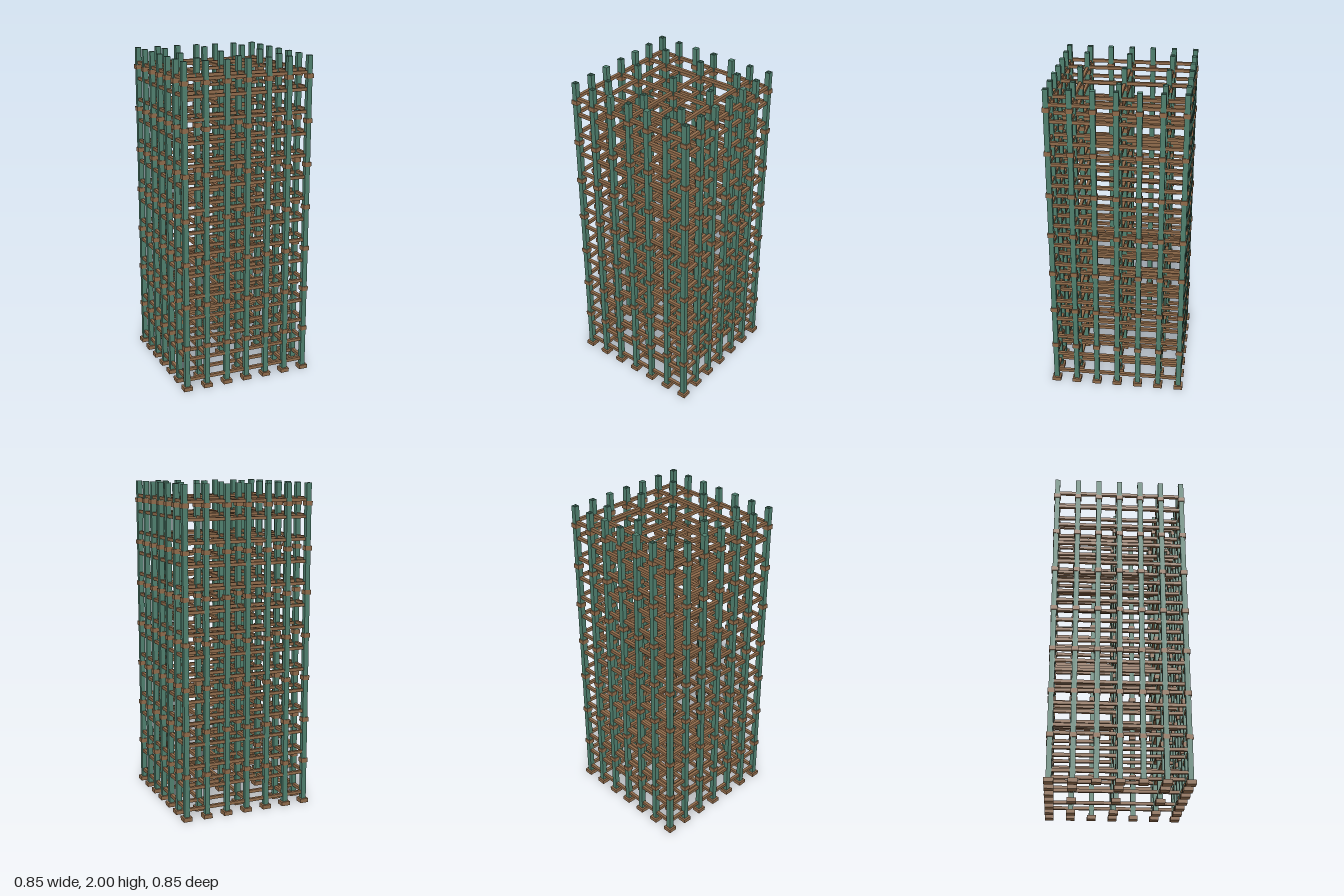
import * as THREE from 'three';
import { mergeGeometries } from 'three/addons/utils/BufferGeometryUtils.js';

const HALF = 0.395;                 // outer post line
const STEP = HALF / 3;              // spacing of the perimeter posts
const POST = 0.031, WALL = 0.005;   // post width and tube wall
const FOOT_H = 0.025, TOP = 2;
const BEAM = 0.019;

const green = new THREE.MeshStandardMaterial({ color: 0x4f7f6e });
green.name = 'greenSteel';
const brown = new THREE.MeshStandardMaterial({ color: 0x8f6a4a });
brown.name = 'brownTimber';

const box = (w, h, d, x, y, z) => new THREE.BoxGeometry(w, h, d).translate(x, y, z);

// Square tube, open at the top
function tubePost(x, z) {
  const r = POST / 2, i = r - WALL;
  const square = (s) => [[-s, -s], [s, -s], [s, s], [-s, s]].map(([a, b]) => new THREE.Vector2(a, b));
  const shape = new THREE.Shape(square(r));
  shape.holes.push(new THREE.Path(square(i).reverse()));
  const g = new THREE.ExtrudeGeometry(shape, { depth: TOP - FOOT_H, bevelEnabled: false });
  return g.rotateX(-Math.PI / 2).translate(x, FOOT_H, z);
}

export function createModel() {
  const group = new THREE.Group();
  group.name = 'latticeTower';
  const add = (name, geometries, material) => {
    const mesh = new THREE.Mesh(mergeGeometries(geometries), material);
    mesh.name = name;
    group.add(mesh);
  };

  // Post positions: a 5 x 5 grid plus extra posts along the perimeter
  const mains = [], extras = [];
  for (let i = -3; i <= 3; i++) {
    for (let k = -3; k <= 3; k++) {
      const oddLine = Math.abs(i) === 1 || Math.abs(k) === 1;
      const edge = Math.abs(i) === 3 || Math.abs(k) === 3;
      if (!oddLine) mains.push([i * STEP, k * STEP]);
      else if (edge) extras.push([i * STEP, k * STEP]);
    }
  }
  const all = [...mains, ...extras];

  add('mainPosts', mains.map(([x, z]) => tubePost(x, z)), green);
  add('perimeterPosts', extras.map(([x, z]) =>
    box(POST, TOP - FOOT_H, POST, x, (TOP + FOOT_H) / 2, z)), green);

  // Square feet
  add('feet', all.map(([x, z]) => box(0.055, FOOT_H, 0.055, x, FOOT_H / 2, z)), brown);

  // Collars: four plates wrapped around each post, leaving the tube open
  const collars = [];
  const outer = 0.042, plate = (outer - POST) / 2 + 0.001;
  const off = (outer - plate) / 2;
  for (let n = 0; n < 7; n++) {
    const y = 0.278 + n * 0.2667;
    for (const [x, z] of all) {
      for (const s of [-1, 1]) {
        collars.push(box(outer, 0.027, plate, x, y, z + s * off));
        collars.push(box(plate, 0.027, outer - 2 * plate, x + s * off, y, z));
      }
    }
  }
  add('collars', collars, brown);

  // Beams in both directions at every level
  const crossBeams = [], depthBeams = [];
  for (let n = 0; n < 15; n++) {
    const y = Math.min(0.067 + n * 0.1333, 1.9);
    for (const line of [-3, -2, 0, 2, 3]) {
      const p = line * STEP;
      crossBeams.push(box(HALF * 2, BEAM, BEAM, 0, y, p));
      depthBeams.push(box(BEAM, BEAM, HALF * 2, p, y + 0.006, 0));
    }
  }
  add('crossBeams', crossBeams, brown);
  add('depthBeams', depthBeams, brown);

  return group;
}
